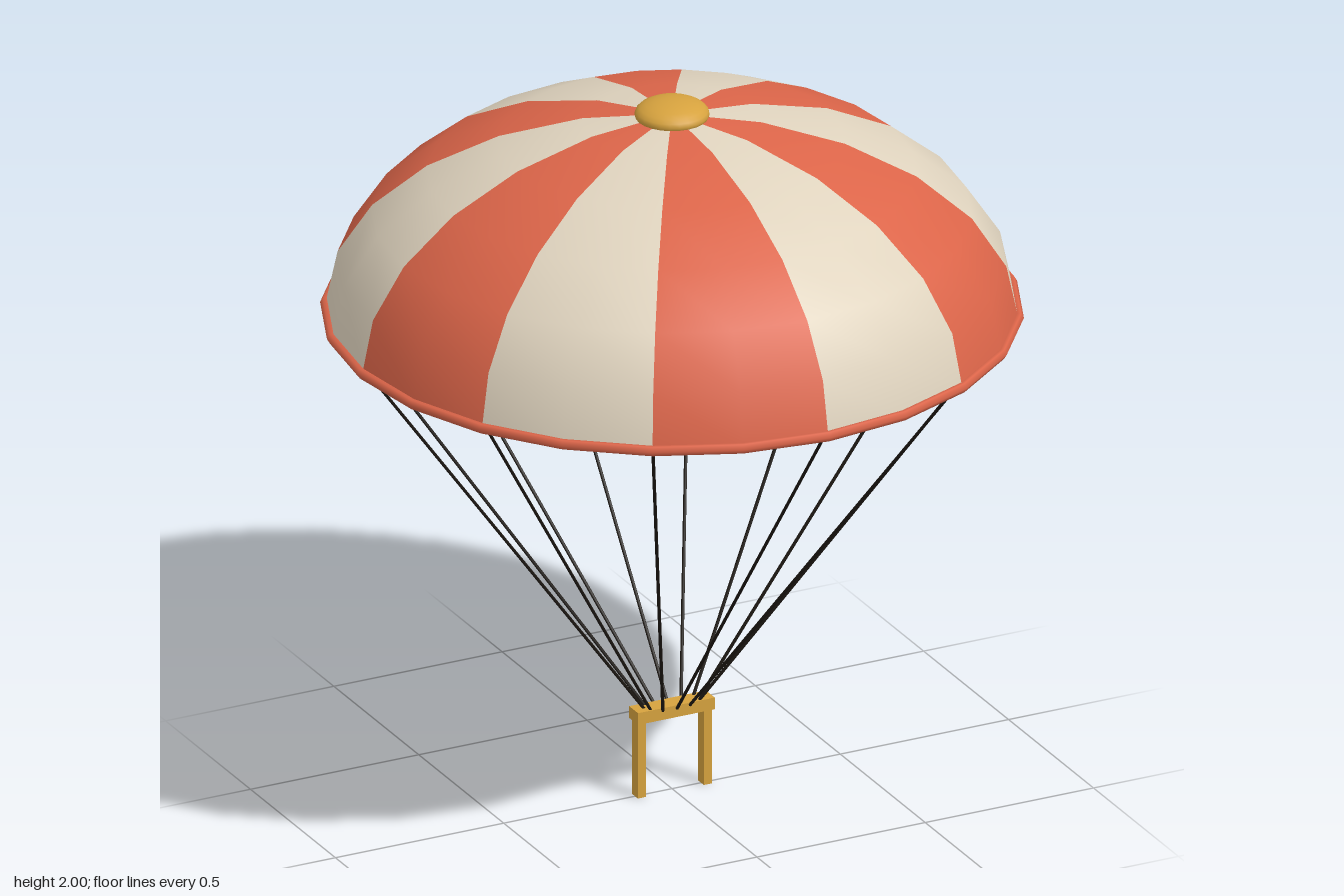
import * as THREE from 'three';

const paint = (name, color, side = THREE.FrontSide) => {
  const m = new THREE.MeshStandardMaterial({ color, side });
  m.name = name;
  return m;
};

export function createModel() {
  const model = new THREE.Group();
  model.name = 'parachute';
  const red = paint('coral red', 0xdc6549, THREE.DoubleSide);
  const cream = paint('cream', 0xdfd3be, THREE.DoubleSide);
  const gold = paint('gold', 0xd6a23e);
  const black = paint('cord black', 0x1c1712);

  const add = (name, geometry, material, x = 0, y = 0, z = 0) => {
    const mesh = new THREE.Mesh(geometry, material);
    mesh.name = name;
    mesh.position.set(x, y, z);
    model.add(mesh);
    return mesh;
  };

  const GORES = 12, STEP = Math.PI * 2 / GORES;
  const RADIUS = 0.92, RIM_Y = 1.39, HEIGHT = 0.57;

  // Canopy: a flattened half dome split into gores of alternating colour
  const profile = [];
  for (let i = 0; i <= 6; i++) {
    const t = (i / 6) * Math.PI / 2;
    profile.push(new THREE.Vector2(i === 6 ? 0 : RADIUS * Math.cos(t), HEIGHT * Math.sin(t)));
  }
  for (let i = 0; i < GORES; i++) {
    add('canopyGore', new THREE.LatheGeometry(profile, 2, i * STEP, STEP), i % 2 ? red : cream, 0, RIM_Y);
  }

  // Rim band and crown cap
  const rim = new THREE.TorusGeometry(RADIUS, 0.015, 6, 24).rotateX(Math.PI / 2);
  add('rim', rim, red, 0, RIM_Y);
  add('crownCap', new THREE.SphereGeometry(0.1, 24, 12).scale(1, 0.4, 1), gold, 0, 1.96);

  // Cords from the rim down to the bar
  const up = new THREE.Vector3(0, 1, 0);
  for (let i = 0; i < GORES; i++) {
    const s = Math.sin(i * STEP), c = Math.cos(i * STEP);
    const top = new THREE.Vector3(0.905 * s, RIM_Y, 0.905 * c);
    const bottom = new THREE.Vector3(0.08 * s, 0.245, 0.03 * c);
    const span = top.clone().sub(bottom);
    const cord = add('cord', new THREE.CylinderGeometry(0.0045, 0.0045, span.length(), 6), black);
    cord.position.copy(top).add(bottom).multiplyScalar(0.5);
    cord.quaternion.setFromUnitVectors(up, span.normalize());
  }

  // Harness bar with two hanging legs
  add('harnessBar', new THREE.BoxGeometry(0.228, 0.034, 0.052), gold, 0, 0.235);
  for (const side of [-1, 1]) {
    add('harnessLeg', new THREE.BoxGeometry(0.024, 0.222, 0.034), gold, side * 0.098, 0.111);
  }
  return model;
}
